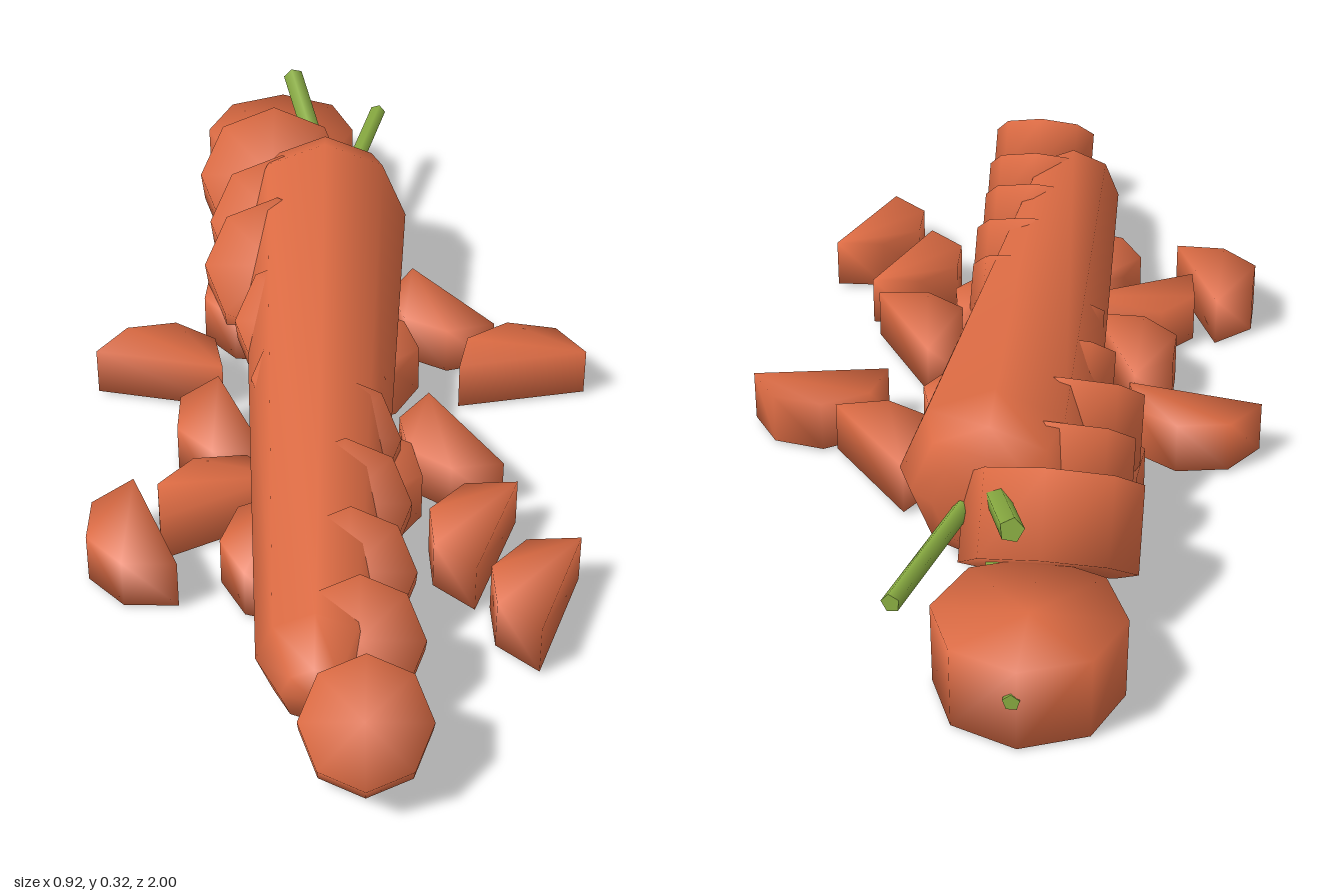
import * as THREE from 'three';
import { mergeVertices } from 'three/addons/utils/BufferGeometryUtils.js';

const orange = new THREE.MeshStandardMaterial({ color: 0xdc6b43 });
orange.name = 'carrot orange';
const green = new THREE.MeshStandardMaterial({ color: 0x8aad42 });
green.name = 'stem green';

// Weld corners so the whole piece shades softly
function smooth(geometry) {
  geometry.deleteAttribute('normal');
  geometry.deleteAttribute('uv');
  const welded = mergeVertices(geometry, 1e-4);
  welded.computeVertexNormals();
  return welded;
}

export function createModel() {
  const model = new THREE.Group();
  model.name = 'slicedCarrots';

  function add(name, geometry, material, x = 0, y = 0, z = 0) {
    const mesh = new THREE.Mesh(geometry, material);
    mesh.name = name;
    mesh.position.set(x, y, z);
    model.add(mesh);
    return mesh;
  }

  // Whole carrot: eight-sided, lying on its side, thick end at the back
  const profile = [[0, -0.6], [0.09, -0.6], [0.13, -0.565], [0.16, -0.49],
    [0.096, 0.73], [0.055, 0.81], [0, 0.82]].map(([r, z]) => new THREE.Vector2(r, z));
  const body = new THREE.LatheGeometry(profile, 8).rotateX(Math.PI / 2);
  const p = body.attributes.position;
  for (let i = 0; i < p.count; i++) {
    // the axis sinks towards the thin end so the carrot rests on the ground
    const t = (p.getZ(i) + 0.49) / 1.22;
    p.setY(i, p.getY(i) + 0.164 - 0.064 * t);
  }
  add('wholeCarrot', smooth(body), orange, -0.035, 0, 0);

  // Round slices leaning back on each other: x, z, radius
  const tilt = 0.68;
  const slices = [[0.045, 0.89, 0.105], [0.035, 0.71, 0.106], [0.02, 0.55, 0.109],
    [0.01, 0.38, 0.113], [-0.01, 0.21, 0.117], [-0.04, 0.04, 0.121], [-0.07, -0.13, 0.127],
    [-0.125, -0.3, 0.136], [-0.12, -0.45, 0.138], [-0.14, -0.61, 0.145]];
  slices.forEach(([x, z, r]) => {
    const h = 0.1 + (r - 0.105) * 1.1;
    const y = 0.005 + (h / 2) * Math.cos(tilt) + r * Math.sin(tilt);
    const disc = smooth(new THREE.CylinderGeometry(r, r, h, 8));
    add('roundSlice', disc, orange, x, y, z).rotation.x = tilt;
  });

  // Thick end slice lying flat
  add('endSlice', smooth(new THREE.CylinderGeometry(0.152, 0.15, 0.14, 8)), orange, -0.133, 0.077, -0.848);

  // Half slices scattered flat: centre x, z, and direction of the round side
  const half = new THREE.Shape();
  for (let i = 0; i <= 4; i++) {
    const a = (i * Math.PI) / 4;
    const x = 0.122 * Math.cos(a), y = 0.122 * Math.sin(a);
    if (i) half.lineTo(x, y); else half.moveTo(x, y);
  }
  half.closePath();
  const halfSlice = smooth(new THREE.ExtrudeGeometry(half, { depth: 0.092, bevelEnabled: false })
    .rotateX(-Math.PI / 2));
  const halves = [
    [-0.34, -0.08, 0.2, -1], [0.215, -0.295, -0.75, 0.6], [0.34, -0.085, -0.2, -1],
    [0.225, 0.125, -0.85, 0.52], [0.27, 0.395, -0.94, -0.33], [0.37, 0.545, -0.94, -0.33],
    [-0.315, 0.39, -0.93, 0.37], [-0.2, 0.325, -0.48, -0.87], [-0.18, 0.085, -0.92, 0.38],
    [-0.08, 0.43, -1, 0.1], [0.025, -0.13, 1, 0.1], [0.025, 0.24, 1, 0.2],
    [0.0, 0.63, 0.3, 1], [-0.15, -0.32, -0.9, 0.3],
  ];
  halves.forEach(([x, z, bx, bz]) => {
    add('halfSlice', halfSlice, orange, x, 0.009, z).rotation.y = Math.atan2(-bx, -bz);
  });

  // Stem stubs: start and tip
  const stems = [
    [[0.0, 0.162, -0.58], [0.072, 0.172, -0.885], 0.016],
    [[-0.035, 0.2, -0.57], [-0.105, 0.285, -0.835], 0.02],
    [[-0.05, 0.15, -0.58], [-0.065, 0.115, -0.72], 0.018],
    [[-0.13, 0.09, -0.9], [-0.125, 0.093, -1.0], 0.014],
  ];
  const up = new THREE.Vector3(0, 1, 0);
  stems.forEach(([from, to, r]) => {
    const a = new THREE.Vector3(...from), b = new THREE.Vector3(...to);
    const dir = b.clone().sub(a);
    const mid = a.clone().add(b).multiplyScalar(0.5);
    const stem = add('stem', new THREE.CylinderGeometry(r, r, dir.length(), 5), green, mid.x, mid.y, mid.z);
    stem.quaternion.setFromUnitVectors(up, dir.normalize());
  });

  return model;
}
